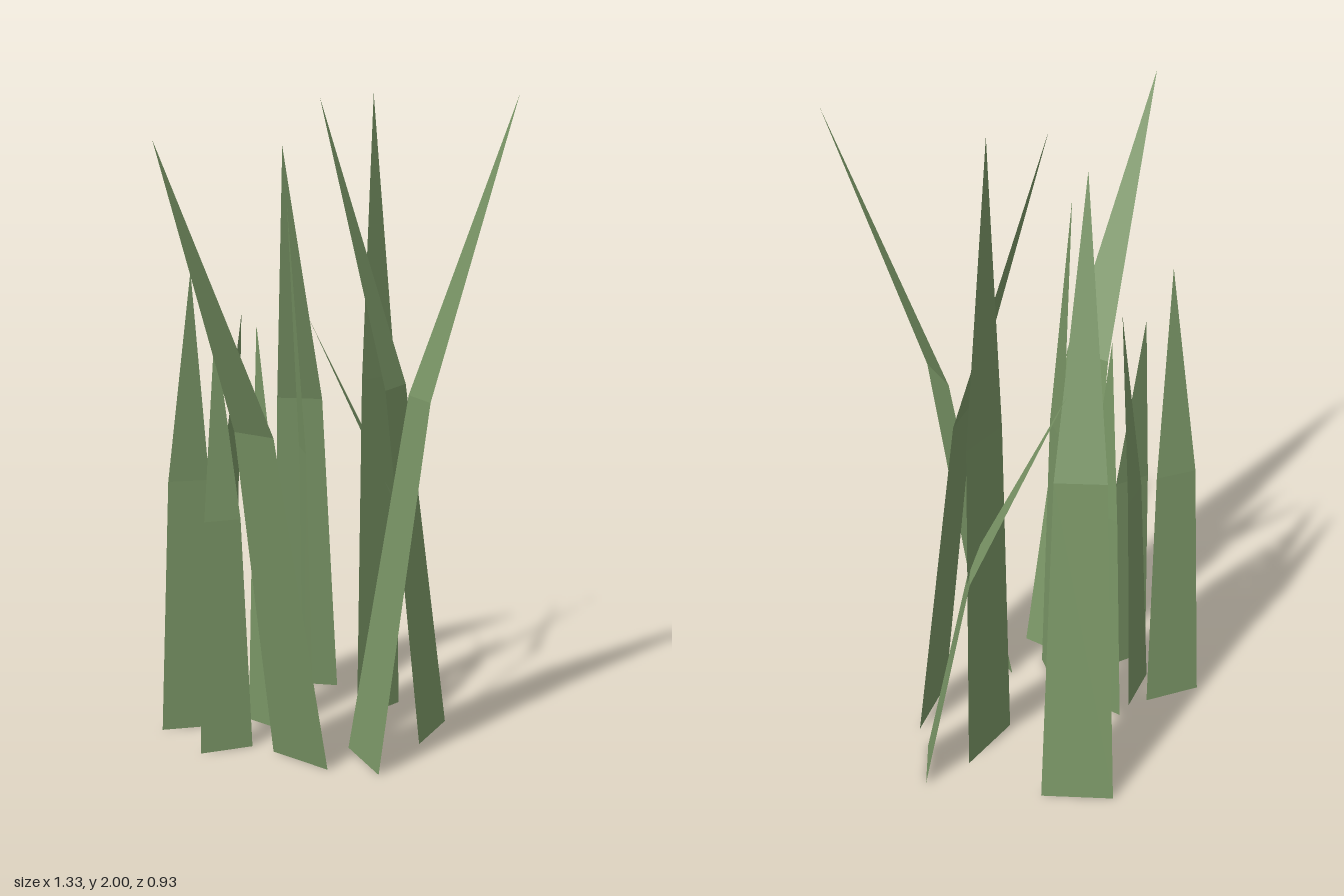
import * as THREE from 'three';

// Each blade: two base corners, two bend corners and the tip, as [x, z]; h is the tip height.
const BLADES = [
  { h: 1.86, base: [[-0.09, -0.02], [-0.09, 0.2]], bend: [[-0.29, 0.015], [-0.29, 0.168]], tip: [-0.665, 0.09] },
  { h: 1.99, base: [[0.09, 0.13], [-0.02, 0.34]], bend: [[0.218, 0.25], [0.145, 0.388]], tip: [0.455, 0.463] },
  { h: 1.985, base: [[0.26, 0.275], [0.48, 0.21]], bend: [[0.25, 0.135], [0.407, 0.09]], tip: [0.255, -0.138] },
  { h: 1.28, base: [[0.665, 0.04], [0.527, 0.14]], bend: [[0.557, -0.068], [0.457, 0.003]], tip: [0.342, -0.254] },
  { h: 1.84, base: [[0.405, -0.465], [0.515, -0.28]], bend: [[0.307, -0.367], [0.384, -0.238]], tip: [0.12, -0.172] },
  { h: 2.0, base: [[0.305, -0.015], [0.522, -0.015]], bend: [[0.334, -0.028], [0.502, -0.028]], tip: [0.414, -0.055] },
  { h: 1.68, base: [[0.1, -0.065], [-0.025, 0.09]], bend: [[0.066, -0.055], [-0.023, 0.053]], tip: [-0.016, -0.03] },
  { h: 1.3, base: [[0.07, -0.277], [0.067, -0.12]], bend: [[0.06, -0.247], [0.057, -0.138]], tip: [0.035, -0.203] },
  { h: 1.47, base: [[-0.188, -0.412], [-0.04, -0.31]], bend: [[-0.19, -0.368], [-0.084, -0.295]], tip: [-0.175, -0.275] },
  { h: 1.34, base: [[-0.155, -0.24], [0.012, -0.275]], bend: [[-0.125, -0.217], [-0.01, -0.241]], tip: [-0.055, -0.18] },
  { h: 1.3, base: [[-0.252, -0.175], [-0.1, -0.1]], bend: [[-0.217, -0.185], [-0.113, -0.133]], tip: [-0.14, -0.21] },
];
const BEND = 0.555; // height of the bend as a share of the blade

function bladeGeometry({ h, base, bend, tip }) {
  const at = (p, y) => [p[0], y, p[1]];
  const [a, b] = base.map((p) => at(p, 0));
  const [c, d] = bend.map((p) => at(p, h * BEND));
  const t = at(tip, h);
  // Lower quad and upper triangle, unshared so that the bend stays crisp
  const points = [a, b, d, a, d, c, c, d, t].flat();
  const geometry = new THREE.BufferGeometry();
  geometry.setAttribute('position', new THREE.Float32BufferAttribute(points, 3));
  geometry.computeVertexNormals();
  return geometry;
}

export function createModel() {
  const group = new THREE.Group();
  group.name = 'grassTuft';
  const grass = new THREE.MeshStandardMaterial({ color: 0x7a9666, side: THREE.DoubleSide, flatShading: true });
  grass.name = 'grassGreen';
  BLADES.forEach((blade, i) => {
    const mesh = new THREE.Mesh(bladeGeometry(blade), grass);
    mesh.name = `grassBlade${i + 1}`;
    group.add(mesh);
  });
  return group;
}
